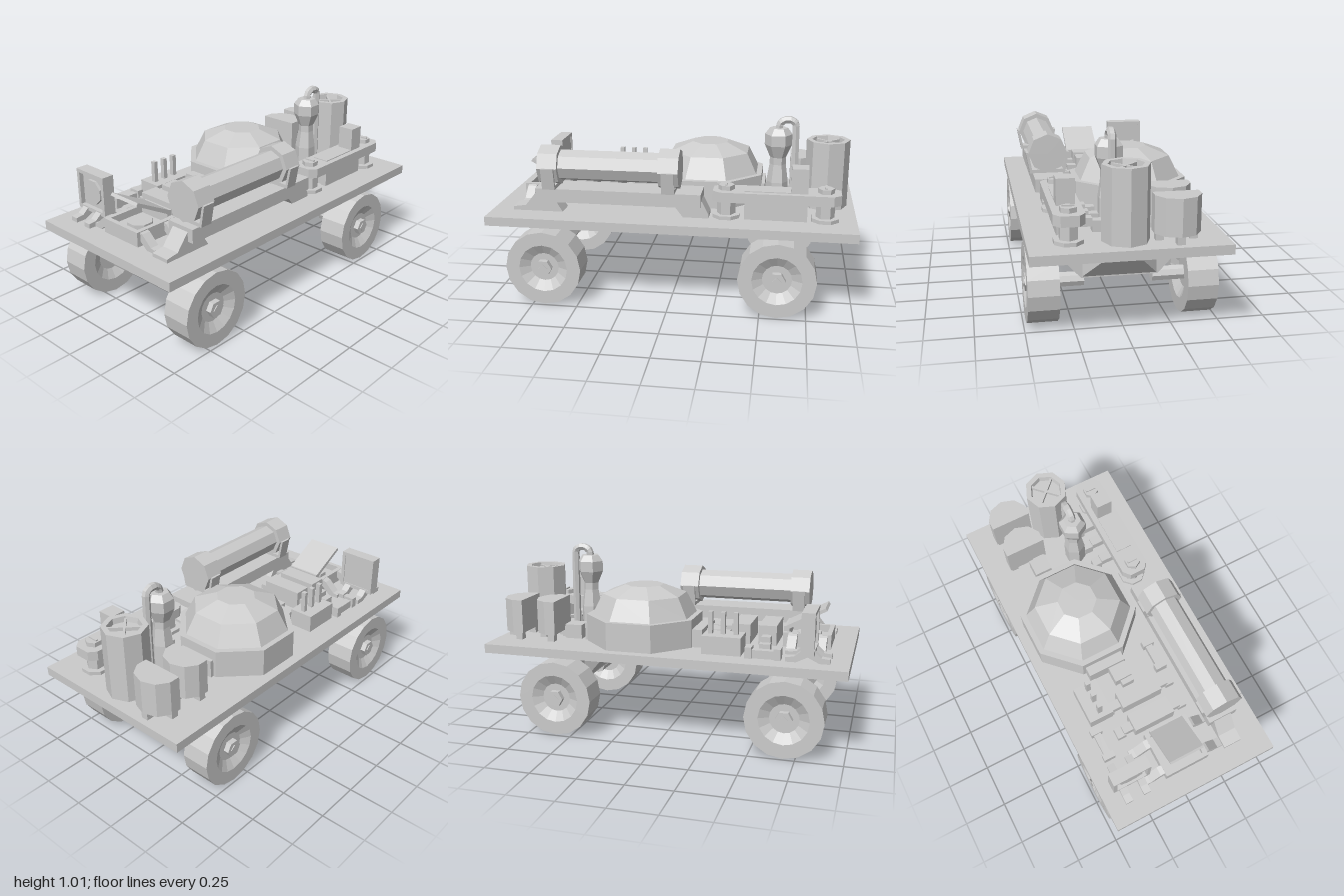
import * as THREE from 'three';
import { ConvexGeometry } from 'three/addons/geometries/ConvexGeometry.js';

const mat = new THREE.MeshStandardMaterial({ color: 0xcccccc, flatShading: true, side: THREE.DoubleSide });

export function createModel() {
  const root = new THREE.Group();
  const add = (name, geo, x = 0, y = 0, z = 0) => {
    const m = new THREE.Mesh(geo, mat);
    m.name = name;
    m.position.set(x, y, z);
    root.add(m);
    return m;
  };
  // Box given by its min/max on each axis
  const box = (name, x0, x1, y0, y1, z0, z1) =>
    add(name, new THREE.BoxGeometry(x1 - x0, y1 - y0, z1 - z0), (x0 + x1) / 2, (y0 + y1) / 2, (z0 + z1) / 2);
  const cyl = (name, rTop, rBottom, y0, y1, x, z, sides = 8, turn = 0) =>
    add(name, new THREE.CylinderGeometry(rTop, rBottom, y1 - y0, sides).rotateY(turn), x, (y0 + y1) / 2, z);
  const lathe = (pts, sides) => new THREE.LatheGeometry(pts.map(p => new THREE.Vector2(...p)), sides);
  const polygon = pts => new THREE.Shape(pts.map(p => new THREE.Vector2(...p)));
  // Outline in x/y, thickened along z about the centre
  const slab = (pts, depth) =>
    new THREE.ExtrudeGeometry(polygon(pts), { depth, bevelEnabled: false }).translate(0, 0, -depth / 2);
  // Outline in z/y, thickened along x
  const sideSlab = (pts, depth) => slab(pts, depth).rotateY(-Math.PI / 2);
  const hull = pts => new ConvexGeometry(pts.map(p => new THREE.Vector3(...p)));
  const EIGHTH = Math.PI / 8;

  box('deck', -0.49, 0.49, 0.45, 0.5, -1, 1);
  box('spine', -0.1, 0.1, 0.355, 0.45, -0.52, 0.62);

  // Axle housings and wheels
  const tire = lathe([[0, -0.05], [0.08, -0.05], [0.135, -0.08], [0.21, -0.08],
    [0.21, 0.08], [0.135, 0.08], [0.08, 0.05], [0, 0.05]], 16).rotateZ(-Math.PI / 2);
  for (const z of [0.685, -0.59]) {
    add('axleHousing', slab([[-0.31, 0.45], [-0.31, 0.36], [-0.2, 0.24], [0.2, 0.24], [0.31, 0.36], [0.31, 0.45]], 0.13), 0, 0, z);
    for (const s of [1, -1]) {
      add('axleHousingNose', hull([-1, 1].flatMap(k => [
        [k * 0.2, 0.24, s * 0.06], [k * 0.2, 0.45, s * 0.06], [k * 0.1, 0.35, s * 0.14], [k * 0.1, 0.45, s * 0.14]])), 0, 0, z);
      add('wheel', tire, s * 0.405, 0.213, z);
      const hub = (name, r, len, x, sides) =>
        add(name, new THREE.CylinderGeometry(r, r, len, sides).rotateZ(Math.PI / 2), s * x, 0.213, z);
      hub('axleShaft', 0.04, 0.2, 0.28, 8);
      hub('hub', 0.047, 0.035, 0.468, 6);
      hub('hubBolt', 0.025, 0.02, 0.48, 4);
    }
  }

  // Faceted dome tank with its pipe elbows
  const c = 1 / Math.cos(EIGHTH);
  cyl('domeBase', 0.305 * c, 0.305 * c, 0.5, 0.655, -0.13, -0.17, 8, EIGHTH);
  const dome = lathe([[0.275 * c, 0.655], [0.22 * c, 0.77], [0.1 * c, 0.82], [0, 0.82]], 8).rotateY(EIGHTH);
  add('dome', dome, -0.13, 0, -0.17);
  for (const s of [1, -1]) {
    box('domeFlange', -0.24, -0.02, 0.5, 0.6, s > 0 ? 0.12 : -0.495, s > 0 ? 0.19 : -0.46);
    const x = -0.13 + s * 0.055, z = -0.17 + s * 0.4;
    box('elbowPipe', x - 0.05, x + 0.05, 0.5, 0.58, z - 0.05, z + 0.05);
    box('elbowEnd', x - 0.02, x + 0.05, 0.5, 0.56, z + s * 0.05 - 0.03, z + s * 0.05 + 0.03);
  }

  // Half-round drums on short feet
  for (const z of [-0.83, -0.635]) {
    const d = new THREE.ExtrudeGeometry(polygon([[-0.115, 0], [0.115, 0], [0.115, 0.06], [0.075, 0.12], [0, 0.145], [-0.075, 0.12], [-0.115, 0.06]]),
      { depth: 0.19, bevelEnabled: false }).rotateX(-Math.PI / 2);
    add('halfDrum', d, -0.235, 0.54, z);
    for (const [x, dz] of [[-0.32, 0.03], [-0.15, 0.03], [-0.235, 0.115]])
      box('drumFoot', x - 0.02, x + 0.02, 0.5, 0.54, z - dz - 0.02, z - dz + 0.02);
  }

  // Tall canister with a recessed lid and crossed bars
  add('canister', lathe([[0, 0.5], [0.12, 0.5], [0.12, 0.88], [0.09, 0.88], [0.085, 0.85], [0, 0.85]], 8), 0.01, 0, -0.84);
  for (const s of [1, -1]) {
    const bar = box('lidBar', -0.075, 0.095, 0.85, 0.87, -0.846, -0.834);
    bar.rotation.y = s * Math.PI / 4;
  }

  // Gas bottle and bent pipe
  add('bottle', lathe([[0, 0.5], [0.06, 0.5], [0.06, 0.64], [0.045, 0.74], [0.045, 0.78],
    [0.076, 0.85], [0.076, 0.91], [0.05, 0.945], [0, 0.945]], 6), 0.043, 0, -0.565);
  const bend = new THREE.CurvePath();
  const path = [[0.93, -0.565], [0.97, -0.57], [0.99, -0.595], [0.99, -0.635], [0.97, -0.658], [0.75, -0.66], [0.5, -0.66]]
    .map(([y, z]) => new THREE.Vector3(0.043, y, z));
  for (let i = 1; i < path.length; i++) bend.add(new THREE.LineCurve3(path[i - 1], path[i]));
  add('bottlePipe', new THREE.TubeGeometry(bend, 40, 0.022, 6));

  // Rear rail with bolted ends and side connectors
  add('railTop', new THREE.ExtrudeGeometry(polygon([[-0.045, -0.34], [0.045, -0.34], [0.078, -0.3], [0.078, 0.3],
    [0.045, 0.34], [-0.045, 0.34], [-0.078, 0.3], [-0.078, -0.3]]), { depth: 0.055, bevelEnabled: false }).rotateX(-Math.PI / 2), 0.287, 0.6, -0.57);
  box('railWeb', 0.24, 0.333, 0.5, 0.66, -0.735, -0.4);
  box('railBox', 0.24, 0.333, 0.655, 0.79, -0.735, -0.645);
  for (const z of [-0.83, -0.3]) {
    cyl('railFootPlate', 0.078, 0.078, 0.5, 0.52, 0.287, z, 8, EIGHTH);
    cyl('railPost', 0.05, 0.05, 0.52, 0.6, 0.287, z, 6);
    cyl('railBolt', 0.045, 0.045, 0.655, 0.68, 0.287, z, 6);
    box('boltSlot', 0.257, 0.317, 0.68, 0.688, z - 0.006, z + 0.006);
  }
  for (const z of [-0.68, -0.565, -0.445]) {
    box('railPlug', 0.1, 0.15, 0.5, 0.56, z - 0.025, z + 0.025);
    box('railPlugLead', 0.15, 0.25, 0.53, 0.575, z - 0.025, z + 0.025);
  }

  // Long tube on its cradles and raised base
  const barrel = (name, r, z0, z1) =>
    add(name, new THREE.CylinderGeometry(r, r, z1 - z0, 8).rotateX(Math.PI / 2), 0.295, 0.757, (z0 + z1) / 2);
  barrel('tubeBody', 0.085, 0.05, 0.62);
  barrel('tubeCap', 0.11, 0.61, 0.72);
  barrel('tubeCap', 0.11, -0.05, 0.06);
  box('tubeBase', 0.21, 0.38, 0.565, 0.64, -0.17, 0.74);
  for (const z of [0.66, 0.005]) {
    box('cradleFloor', 0.2, 0.39, 0.64, 0.66, z - 0.035, z + 0.035);
    for (const s of [1, -1])
      add('cradleArm', slab([[s * 0.085, 0.64], [s * 0.1, 0.64], [s * 0.122, 0.76], [s * 0.107, 0.76]], 0.07), 0.295, 0, z);
  }
  add('baseFrontFoot', sideSlab([[0.6, 0.5], [0.88, 0.5], [0.88, 0.52], [0.81, 0.53], [0.73, 0.63], [0.7, 0.57], [0.64, 0.565]], 0.105), 0.293, 0, 0);
  add('baseRearFoot', sideSlab([[-0.02, 0.565], [-0.17, 0.6], [-0.21, 0.52], [-0.21, 0.5], [-0.07, 0.5]], 0.105), 0.293, 0, 0);

  // Two battery boxes with stepped leads
  for (const z of [0.395, 0.54]) {
    box('battery', -0.165, 0.075, 0.52, 0.63, z - 0.05, z + 0.05);
    for (const s of [1, -1]) {
      const x = -0.045 + s * 0.145, x2 = -0.045 + s * 0.19;
      box('batteryLead', x - 0.03, x + 0.03, 0.53, 0.58, z - 0.025, z + 0.025);
      box('batteryTerminal', x2 - 0.025, x2 + 0.025, 0.5, 0.55, z - 0.03, z + 0.03);
    }
  }

  // Open case with a raised lid and splayed legs
  box('caseFloor', -0.13, 0.13, 0.51, 0.55, 0.62, 0.88);
  for (const s of [0, 1]) {
    box('caseSide', -0.13 + s * 0.235, -0.105 + s * 0.235, 0.51, 0.59, 0.62, 0.88);
    box('caseEnd', -0.13, 0.13, 0.51, 0.59, 0.62 + s * 0.235, 0.645 + s * 0.235);
  }
  cyl('caseDial', 0.07, 0.07, 0.55, 0.575, 0, 0.75, 8, EIGHTH);
  add('caseLid', sideSlab([[0.63, 0.62], [0.64, 0.6], [0.85, 0.715], [0.84, 0.73]], 0.2));
  box('caseHinge', -0.1, 0.1, 0.58, 0.62, 0.62, 0.65);
  for (const z of [0.675, 0.835]) for (const s of [1, -1])
    add('caseLeg', slab([[s * 0.24, 0.5], [s * 0.18, 0.5], [s * 0.12, 0.55], [s * 0.12, 0.59], [s * 0.15, 0.58], [s * 0.21, 0.525], [s * 0.24, 0.52]], 0.05), -0.005, 0, z);

  // Square display with a sunken panel and dial
  const frame = polygon([[-0.11, 0.545], [0.11, 0.545], [0.11, 0.77], [-0.11, 0.77]]);
  frame.holes.push(new THREE.Path([[-0.09, 0.567], [-0.09, 0.75], [0.09, 0.75], [0.09, 0.567]].map(p => new THREE.Vector2(...p))));
  add('displayFrame', new THREE.ExtrudeGeometry(frame, { depth: 0.07, bevelEnabled: false }), -0.31, 0, 0.75);
  box('displayPanel', -0.405, -0.215, 0.56, 0.755, 0.755, 0.795);
  add('displayDial', new THREE.CylinderGeometry(0.07, 0.07, 0.02, 8).rotateX(Math.PI / 2).rotateZ(EIGHTH), -0.31, 0.658, 0.8);
  for (const x of [-0.365, -0.255]) for (const s of [1, -1])
    add('displayFoot', sideSlab([[0, 0.56], [0, 0.53], [s * 0.06, 0.5], [s * 0.115, 0.5], [s * 0.115, 0.525], [s * 0.07, 0.53], [s * 0.035, 0.56]], 0.042), x, 0, 0.785);

  // Terminal block with upright fins
  box('terminalBlock', -0.36, -0.22, 0.5, 0.6, 0.215, 0.43);
  for (const z of [0.25, 0.32, 0.39]) box('terminalFin', -0.298, -0.272, 0.6, 0.72, z - 0.012, z + 0.012);

  // Small spools lying on the deck
  for (const [x, z] of [[-0.352, 0.55], [0.15, 0.225]]) {
    box('spoolBar', x - 0.02, x + 0.02, 0.5, 0.545, z - 0.08, z + 0.08);
    for (const s of [1, -1]) box('spoolEnd', x - 0.033, x + 0.033, 0.5, 0.56, z + s * 0.077 - 0.018, z + s * 0.077 + 0.018);
  }
  return root;
}
